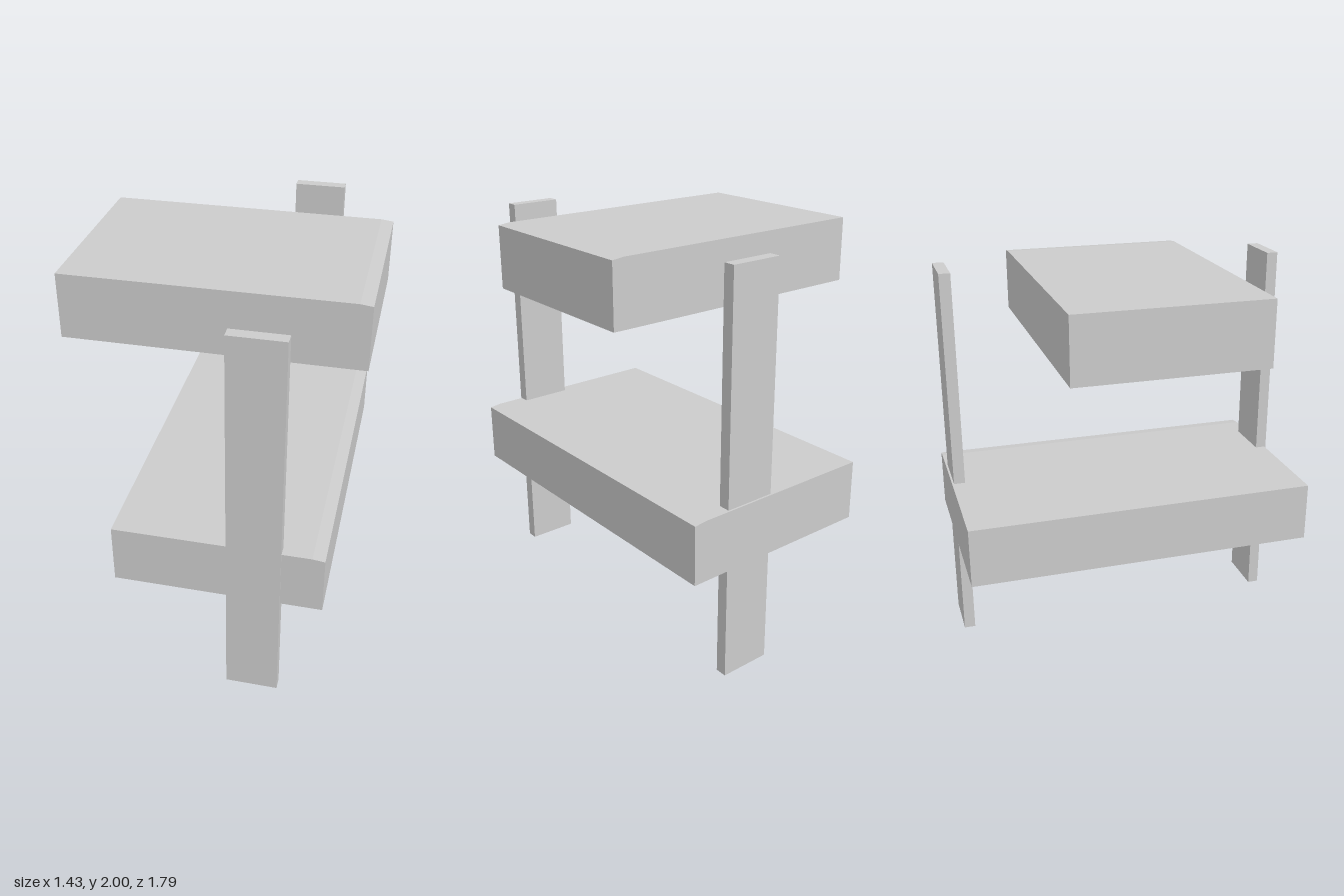
import * as THREE from 'three';

const material = new THREE.MeshStandardMaterial({ color: 0xcccccc, flatShading: true });

// Thick board along z whose top eases down slightly towards its +x edge
function board(name, x0, x1, y0, y1, z0, z1, easeWidth, drop) {
  const shape = new THREE.Shape([
    new THREE.Vector2(x0, y0),
    new THREE.Vector2(x1, y0),
    new THREE.Vector2(x1, y1 - drop),
    new THREE.Vector2(x1 - easeWidth, y1),
    new THREE.Vector2(x0, y1),
  ]);
  const geometry = new THREE.ExtrudeGeometry(shape, { depth: z1 - z0, bevelEnabled: false });
  geometry.translate(0, 0, z0);
  const mesh = new THREE.Mesh(geometry, material);
  mesh.name = name;
  return mesh;
}

// Flat upright standing on the ground
function post(name, z0, z1) {
  const mesh = new THREE.Mesh(new THREE.BoxGeometry(0.26, 2, z1 - z0), material);
  mesh.position.set(0.288, 1, (z0 + z1) / 2);
  mesh.name = name;
  return mesh;
}

export function createModel() {
  const model = new THREE.Group();
  model.name = 'shelfStand';
  model.add(
    board('upperSlab', -0.714, 0.712, 1.668, 1.99, -0.455, 0.49, 0.06, 0.007),
    board('lowerShelf', -0.398, 0.62, 0.583, 0.888, -0.895, 0.887, 0.06, 0.007),
    post('frontPost', 0.837, 0.895),
    post('backPost', -0.885, -0.827)
  );
  return model;
}
